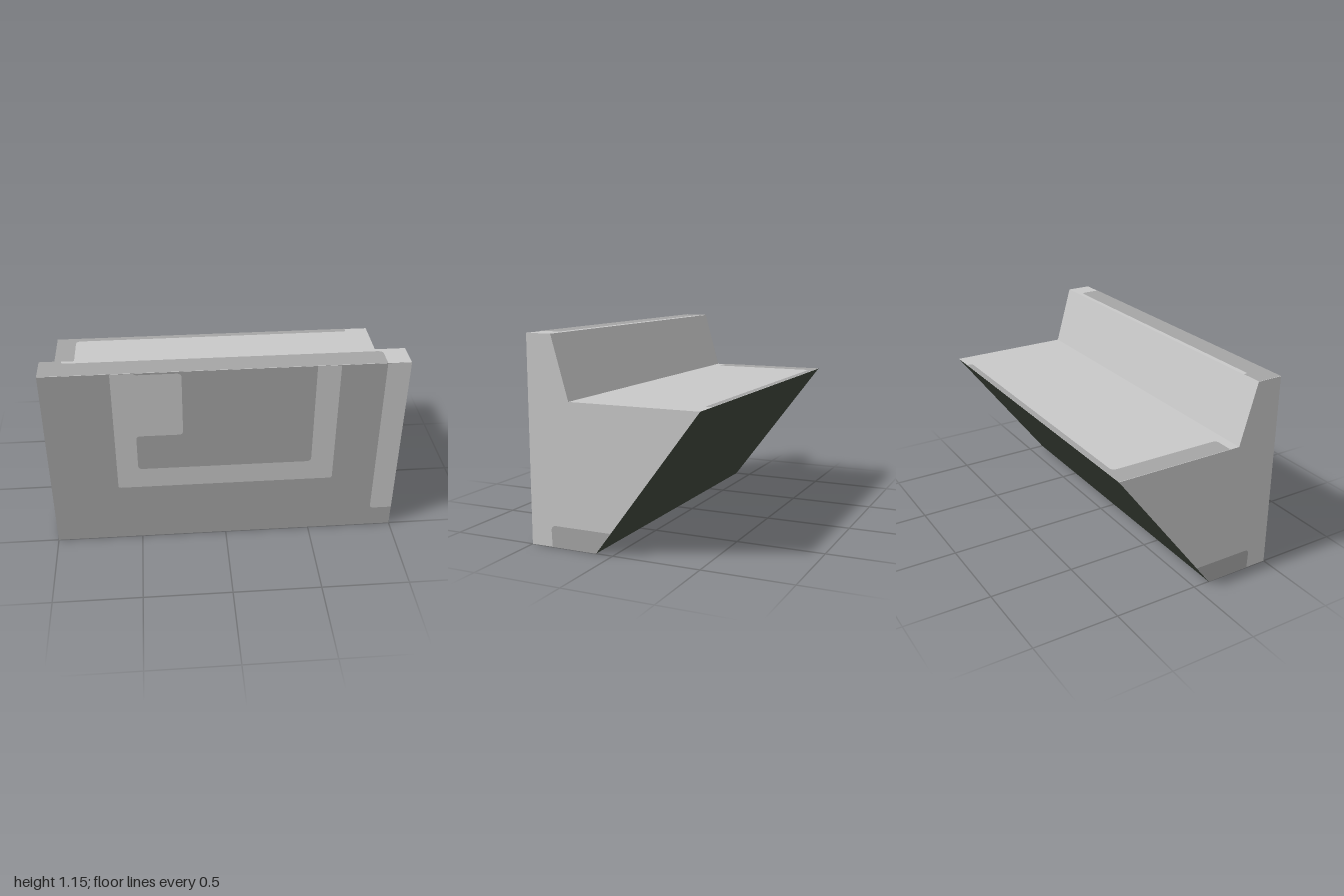
import * as THREE from 'three';

const LIFT = 0.002; // painted panels sit just above the surface

function makeMaterial(name, color) {
  const m = new THREE.MeshStandardMaterial({ color });
  m.name = name;
  return m;
}

// Polygon with optional corner radius as the third value of a point
function roundedShape(points) {
  const shape = new THREE.Shape();
  const n = points.length;
  points.forEach(([x, y, r = 0], i) => {
    const p = new THREE.Vector2(x, y);
    const toward = (q) => new THREE.Vector2(q[0], q[1]).sub(p).setLength(r).add(p);
    const a = r ? toward(points[(i + n - 1) % n]) : p;
    if (i === 0) shape.moveTo(a.x, a.y);
    else shape.lineTo(a.x, a.y);
    if (r) {
      const b = toward(points[(i + 1) % n]);
      shape.quadraticCurveTo(x, y, b.x, b.y);
    }
  });
  shape.closePath();
  return shape;
}

export function createModel() {
  const group = new THREE.Group();
  group.name = 'ledgeBlock';
  const light = makeMaterial('light grey', 0xc8c8c8);
  const mid = makeMaterial('mid grey', 0xa5a5a5);
  const dark = makeMaterial('dark green grey', 0x3e463b);

  const flat = (name, points, material) => {
    const mesh = new THREE.Mesh(new THREE.ShapeGeometry(roundedShape(points), 6), material);
    mesh.name = name;
    group.add(mesh);
    return mesh;
  };

  // Cross-section as [z, y], swept along x; each edge is one wall
  const profile = [[0.5, 0], [0.5, 1.15], [0.35, 1.15], [0.25, 0.8], [-0.5, 0.8], [0.1, 0]];
  const walls = [
    ['frontWall', mid], ['upperTop', light], ['upperBack', light],
    ['ledgeTop', light], ['slopingBack', dark], ['underside', dark],
  ];
  walls.forEach(([name, material], i) => {
    const [za, ya] = profile[i];
    const [zb, yb] = profile[(i + 1) % profile.length];
    const geometry = new THREE.BufferGeometry();
    geometry.setAttribute('position', new THREE.Float32BufferAttribute(
      [-1, ya, za, 1, ya, za, 1, yb, zb, -1, yb, zb], 3));
    geometry.setIndex([0, 1, 2, 0, 2, 3]);
    geometry.computeVertexNormals();
    const mesh = new THREE.Mesh(geometry, material);
    mesh.name = name;
    group.add(mesh);
  });

  // End walls with a painted patch at the foot
  const footPatch = [[0.37, 0], [0.375, 0.12, 0.03], [0.01, 0.12], [0.1, 0]];
  for (const s of [1, -1]) {
    const side = s > 0 ? 'left' : 'right';
    const place = (name, points, material, lift) => {
      const mesh = flat(name, points.map(([z, y, r]) => [-s * z, y, r]), material);
      mesh.rotation.y = s * Math.PI / 2;
      mesh.position.x = s * (1 + lift);
    };
    place(side + 'EndWall', profile, light, 0);
    place(side + 'FootPatch', footPatch, mid, LIFT);
  }

  // Front panels
  flat('frontBracketPanel', [
    [-0.62, 0.38, 0.015], [0.62, 0.38, 0.015], [0.62, 1.15], [0.49, 1.15],
    [0.49, 0.51, 0.025], [-0.5, 0.51, 0.025], [-0.5, 0.74, 0.025],
    [-0.24, 0.74, 0.025], [-0.24, 1.14, 0.025], [-0.48, 1.14], [-0.5, 1.15], [-0.62, 1.15],
  ], light).position.z = 0.5 + LIFT;
  flat('frontEdgeStrip', [
    [0.87, 0.13, 0.025], [1, 0.13], [1, 1.15], [0.87, 1.15],
  ], light).position.z = 0.5 + LIFT;

  // Painted borders on the horizontal faces, given as [x, z]
  const topPanel = (name, points, y) => {
    const mesh = flat(name, points.map(([x, z, r]) => [x, -z, r]), mid);
    mesh.rotation.x = -Math.PI / 2;
    mesh.position.y = y + LIFT;
  };
  topPanel('ledgeBorder', [
    [-1, -0.5], [0.86, -0.5], [0.86, -0.465, 0.015], [-0.88, -0.465, 0.03],
    [-0.88, 0.19, 0.025], [-1, 0.19],
  ], 0.8);
  topPanel('upperTopBorder', [
    [-1, 0.5], [0.87, 0.5], [0.87, 0.375, 0.03], [-0.88, 0.375, 0.015],
    [-0.88, 0.35], [-1, 0.35],
  ], 1.15);

  return group;
}
